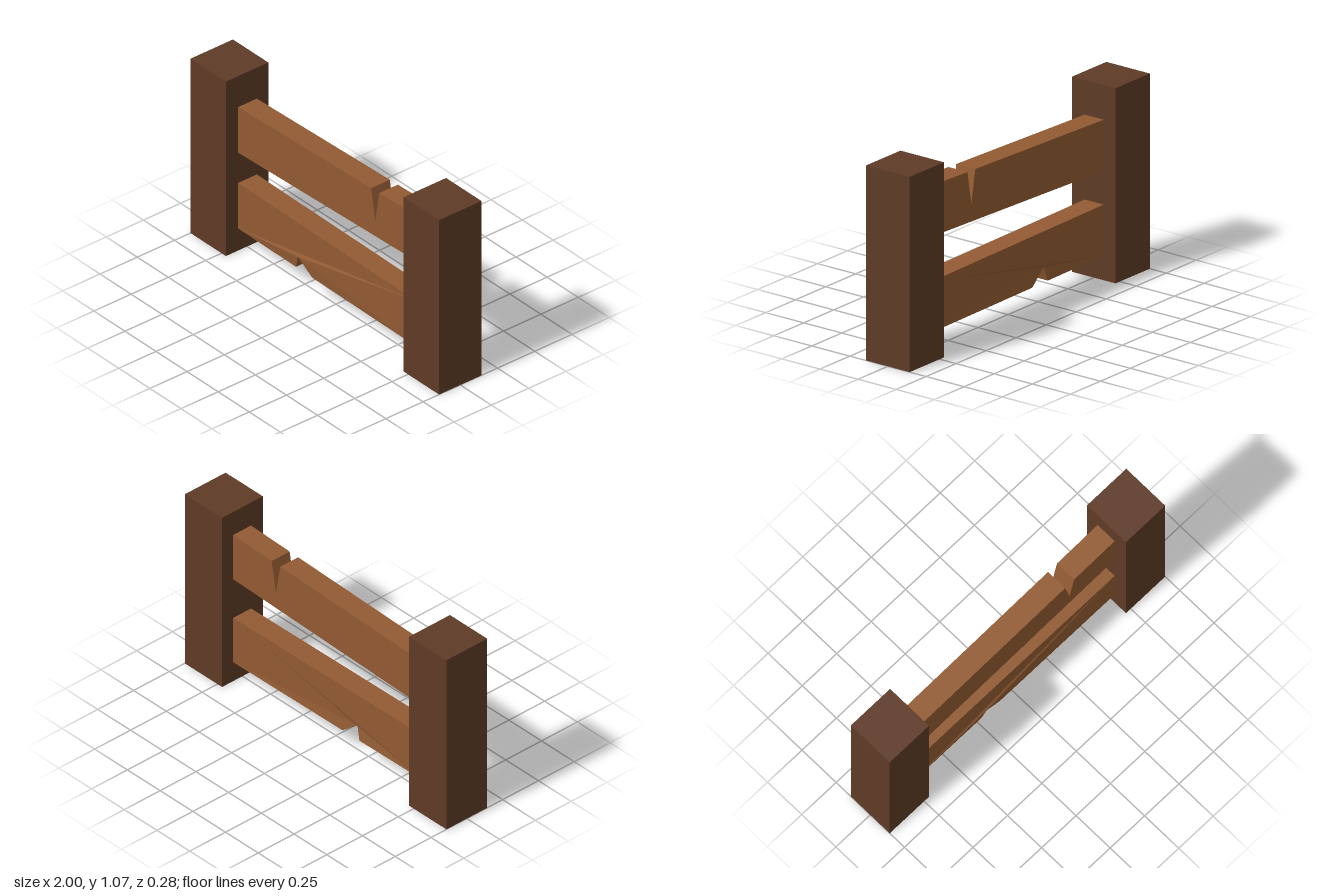
import * as THREE from 'three';

const POST_W = 0.285, POST_H = 1.07, RAIL_BACK = -0.065, RAIL_DEPTH = 0.125;

const postMaterial = new THREE.MeshStandardMaterial({ color: 0x5f3b27, flatShading: true });
const railMaterial = new THREE.MeshStandardMaterial({ color: 0x935b33, flatShading: true });

// Plank cut from a side outline, including its notch
function makeRail(name, outline) {
  const shape = new THREE.Shape(outline.map(([x, y]) => new THREE.Vector2(x, y)));
  const geometry = new THREE.ExtrudeGeometry(shape, { depth: RAIL_DEPTH, bevelEnabled: false });
  geometry.translate(0, 0, RAIL_BACK);
  const rail = new THREE.Mesh(geometry, railMaterial);
  rail.name = name;
  return rail;
}

export function createModel() {
  const fence = new THREE.Group();
  fence.name = 'brokenFence';

  // Square end posts
  for (const [name, side] of [['leftPost', 1], ['rightPost', -1]]) {
    const post = new THREE.Mesh(new THREE.BoxGeometry(POST_W, POST_H, POST_W), postMaterial);
    post.position.set(side * (1 - POST_W / 2), POST_H / 2, 0);
    post.name = name;
    fence.add(post);
  }

  // Upper rail, split from above
  fence.add(makeRail('upperRail', [
    [-0.72, 0.6], [0.72, 0.645], [0.72, 0.925], [0.42, 0.915],
    [0.388, 0.73], [0.355, 0.913], [-0.72, 0.88],
  ]));

  // Lower rail, chipped from below
  const notch = [-0.225, 0.208];
  const lowerRail = makeRail('lowerRail', [
    [-0.72, 0.135], [-0.25, 0.13], notch, [-0.12, 0.128],
    [0.72, 0.12], [0.72, 0.4], [-0.72, 0.415],
  ]);
  // The tip of the chip is pushed slightly forward
  const position = lowerRail.geometry.attributes.position;
  for (let i = 0; i < position.count; i++) {
    if (Math.hypot(position.getX(i) - notch[0], position.getY(i) - notch[1]) < 0.001) {
      position.setZ(i, position.getZ(i) + 0.009);
    }
  }
  lowerRail.geometry.computeVertexNormals();
  fence.add(lowerRail);

  return fence;
}
